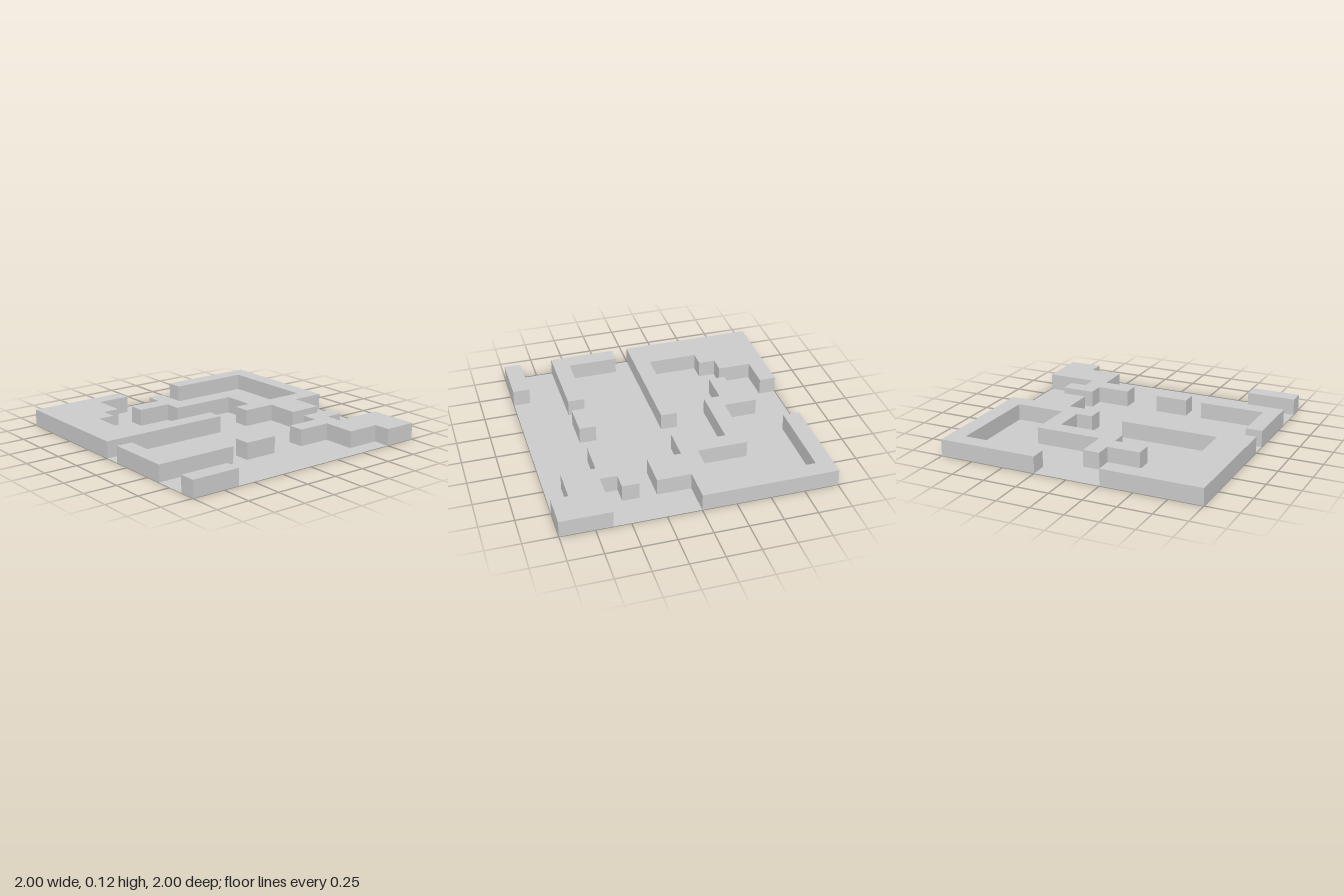
import * as THREE from 'three';

const CELL = 0.125; // the maze sits on a 16 x 16 grid
const HEIGHT = 0.125;

// Wall outlines as [x, z] grid corners
const WALLS = {
  backLeftWall: [[-8, -8], [-2, -8], [-2, -7], [-4, -7], [-4, -5], [-5, -5], [-5, -4],
    [-6, -4], [-6, -1], [0, -1], [0, 0], [-8, 0]],
  backRightWall: [[2, -8], [8, -8], [8, 0], [6, 0], [6, 2], [4, 2], [4, 0], [2, 0], [2, -1],
    [3, -1], [3, -3], [-1, -3], [-1, -4], [-3, -4], [-3, -5], [-1, -5], [-1, -6], [0, -6],
    [0, -4], [4, -4], [4, -1], [7, -1], [7, -7], [2, -7]],
  sideWall: [[-8, 1], [-7, 1], [-7, 4], [-3, 4], [-3, 5], [-8, 5]],
  middleBlock: [[-2, 4], [0, 4], [0, 5], [-2, 5]],
  frontCornerBlock: [[-8, 7], [-5, 7], [-5, 8], [-8, 8]],
  frontWall: [[2, 4], [4, 4], [4, 3], [6, 3], [6, 4], [5, 4], [5, 5], [8, 5], [8, 8], [6, 8],
    [6, 7], [4, 7], [4, 5], [2, 5]],
};

// Upright wall from a plan outline, without the hidden underside
function wallGeometry(outline) {
  const shape = new THREE.Shape(outline.map(([x, z]) => new THREE.Vector2(x * CELL, -z * CELL)));
  const geometry = new THREE.ExtrudeGeometry(shape, { depth: HEIGHT, bevelEnabled: false });
  geometry.rotateX(-Math.PI / 2);
  const lidVertices = (outline.length - 2) * 3; // the lower lid comes first
  const index = [];
  for (let i = lidVertices; i < geometry.attributes.position.count; i++) index.push(i);
  geometry.clearGroups();
  geometry.setIndex(index);
  return geometry.toNonIndexed();
}

export function createModel() {
  const group = new THREE.Group();
  group.name = 'mazeTile';
  const material = new THREE.MeshStandardMaterial({ color: 0xcccccc, flatShading: true });

  // Thin floor sheet
  const floor = new THREE.Mesh(
    new THREE.PlaneGeometry(2, 2).rotateX(-Math.PI / 2),
    new THREE.MeshStandardMaterial({ color: 0xcccccc, side: THREE.DoubleSide })
  );
  floor.name = 'floor';
  group.add(floor);

  // Walls
  for (const [name, outline] of Object.entries(WALLS)) {
    const wall = new THREE.Mesh(wallGeometry(outline), material);
    wall.name = name;
    group.add(wall);
  }
  return group;
}
